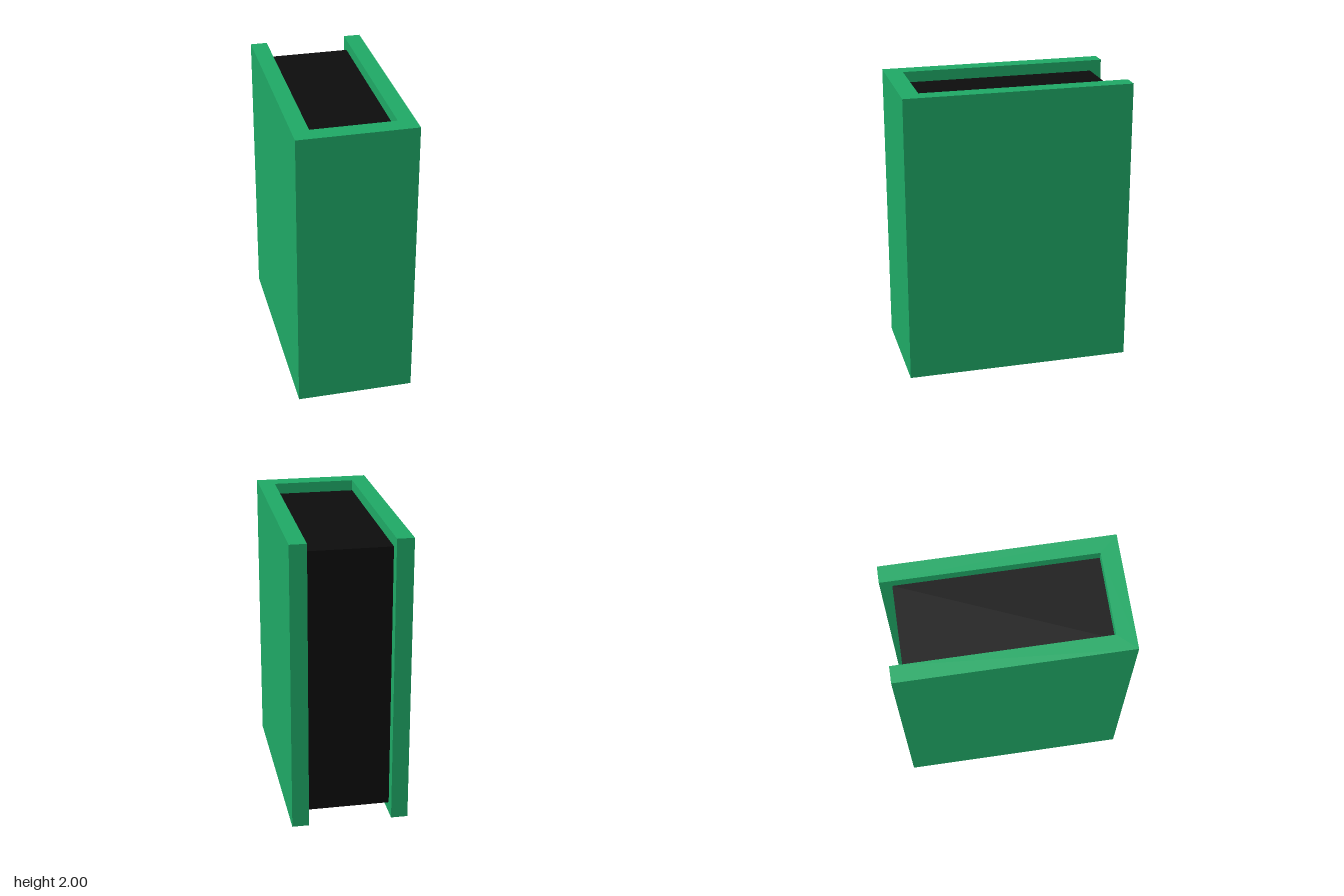
import * as THREE from 'three';

export function createModel() {
  const book = new THREE.Group();
  book.name = 'book';

  const W = 0.4, D = 0.78, H = 2;          // half width, half depth, height
  const innerX = 0.285, spineZ = 0.655;    // inner faces of boards and spine
  const pagesBack = -0.7, inset = 0.075;   // page block set in from the cover edges

  // Cover: U-shaped outline (x, -z) extruded upwards
  const outline = new THREE.Shape([
    [-W, -D], [W, -D], [W, D], [innerX, D],
    [innerX, -spineZ], [-innerX, -spineZ], [-innerX, D], [-W, D],
  ].map(([x, y]) => new THREE.Vector2(x, y)));
  const coverGeometry = new THREE.ExtrudeGeometry(outline, { depth: H, bevelEnabled: false });
  coverGeometry.rotateX(-Math.PI / 2);
  const cover = new THREE.Mesh(coverGeometry, new THREE.MeshStandardMaterial({ color: 0x1fab67 }));
  cover.name = 'cover';
  book.add(cover);

  // Page block between the boards
  const pages = new THREE.Mesh(
    new THREE.BoxGeometry(innerX * 2, H - inset * 2, spineZ - pagesBack),
    new THREE.MeshStandardMaterial({ color: 0x0d0d0d })
  );
  pages.name = 'pages';
  pages.position.set(0, H / 2, (spineZ + pagesBack) / 2);
  book.add(pages);

  return book;
}
